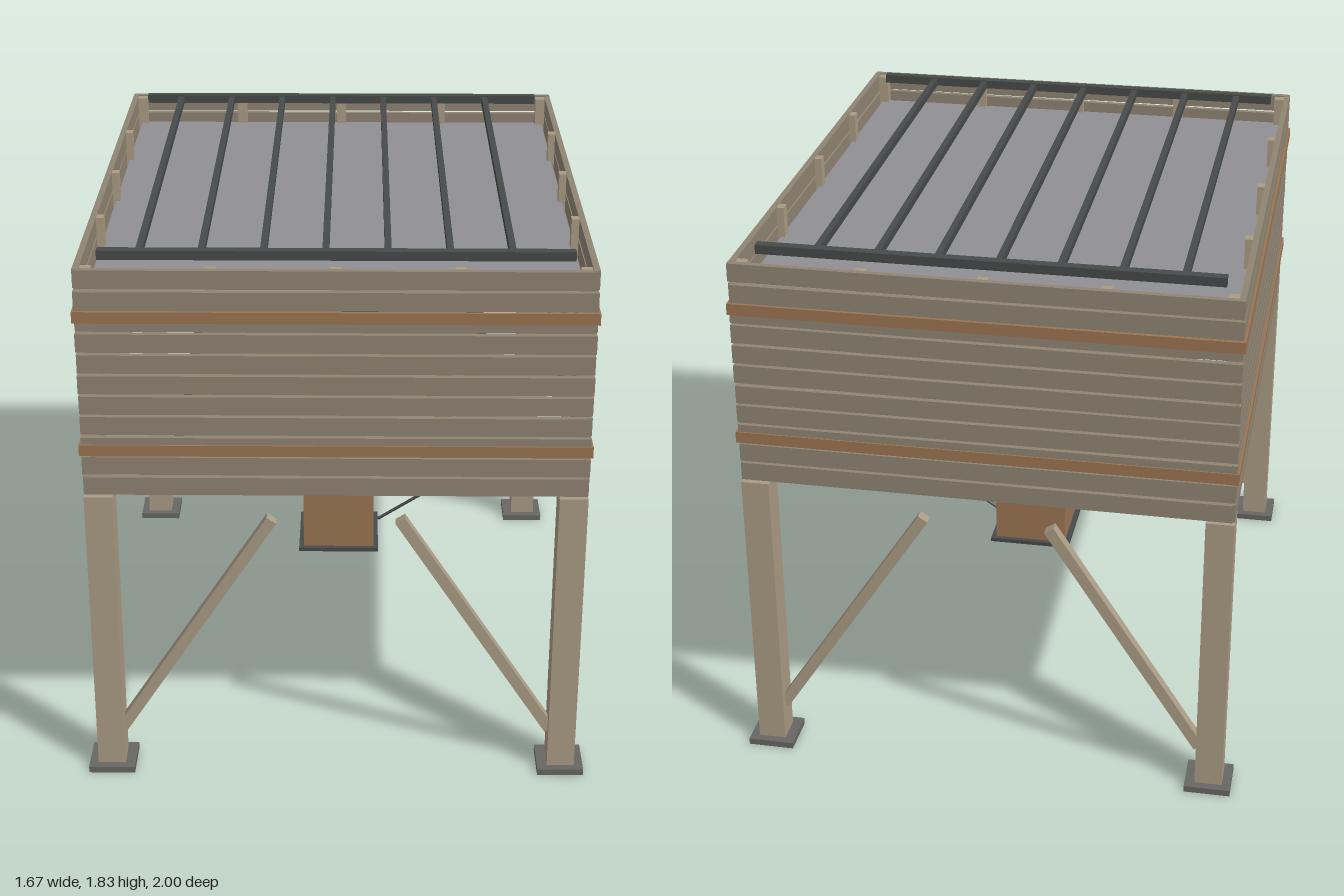
import * as THREE from 'three';

const mat = (color, side = THREE.FrontSide) => new THREE.MeshStandardMaterial({ color, side });
const wood = mat(0x8f8473), post = mat(0xaa9b84), rust = mat(0x9a7452), steel = mat(0x474a4a);
const foot = mat(0x666764), grain = mat(0x909094), funnel = mat(0x8a6a50, THREE.DoubleSide);

// small seeded generator, returns -1..1
let seed = 7;
const jitter = () => {
  seed = (seed * 16807) % 2147483647;
  return (seed / 2147483647) * 2 - 1;
};

function box(parent, name, w, h, d, x, y, z, material) {
  const m = new THREE.Mesh(new THREE.BoxGeometry(w, h, d), material);
  m.name = name;
  m.position.set(x, y, z);
  parent.add(m);
  return m;
}

// square-section bar between two points lying in an x-y plane
function bar(parent, name, ax, ay, bx, by, z, t, material) {
  const m = box(parent, name, t, Math.hypot(bx - ax, by - ay), t, (ax + bx) / 2, (ay + by) / 2, z, material);
  m.rotation.z = -Math.atan2(bx - ax, by - ay);
  return m;
}

function group(parent, name) {
  const g = new THREE.Group();
  g.name = name;
  parent.add(g);
  return g;
}

export function createModel() {
  const root = new THREE.Group();
  root.name = 'hopperBin';

  // legs, feet, inner corner posts and diagonal braces
  const frame = group(root, 'frame');
  for (const sx of [-1, 1]) for (const sz of [-1, 1]) {
    box(frame, 'foot', 0.155, 0.022, 0.15, sx * 0.758, 0.011, sz * 0.925, foot);
    box(frame, 'leg', 0.092, 1.012, 0.094, sx * 0.76, 0.526, sz * 0.925, post);
    box(frame, 'cornerPost', 0.035, 0.77, 0.035, sx * 0.768, 1.415, sz * 0.927, post);
    bar(frame, 'brace', sx * 0.72, 0.145, sx * 0.208, 0.935, sz * 0.925, 0.037, post);
  }

  // slatted walls with slightly uneven planks
  const walls = group(root, 'walls');
  const rows = 11, pitch = 0.0703;
  for (const s of [-1, 1]) {
    for (let i = 0; i < rows; i++) {
      const y = 1.07 + i * pitch;
      const f = box(walls, 'endPlank', 1.605 + jitter() * 0.01, 0.061, 0.02, 0, y, s * 0.957, wood);
      f.rotation.z = jitter() * 0.002;
      const e = box(walls, 'sidePlank', 0.02, 0.061, 1.925 + jitter() * 0.01, s * 0.796, y, 0, wood);
      e.rotation.x = jitter() * 0.002;
    }
    // metal bands around the walls
    for (const y of [1.197, 1.65]) {
      box(walls, 'endBand', 1.626, 0.038, 0.012, 0, y, s * 0.966, rust);
      box(walls, 'sideBand', 0.012, 0.038, 1.936, s * 0.807, y, 0, rust);
    }
    // upright studs inside the walls
    for (const k of [-1, 0, 1]) {
      box(walls, 'endStud', 0.036, 0.765, 0.025, k * 0.383, 1.42, s * 0.936, post);
      box(walls, 'sideStud', 0.025, 0.765, 0.036, s * 0.774, 1.42, k * 0.467, post);
    }
  }

  // level contents
  box(root, 'contents', 1.55, 0.01, 1.87, 0, 1.695, 0, grain);

  // grating on top
  const grating = group(root, 'grating');
  for (const s of [-1, 1]) box(grating, 'gratingBeam', 1.48, 0.03, 0.032, 0, 1.818, s * 0.857, steel);
  for (let i = 0; i < 7; i++) box(grating, 'gratingBar', 0.021, 0.026, 1.7, -0.611 + i * 0.193, 1.816, 0, steel);

  // funnel: a four-sided cone with its top ring stretched to a rectangle
  const hopper = group(root, 'hopper');
  const geo = new THREE.CylinderGeometry(0.54 * Math.SQRT2, 0.127 * Math.SQRT2, 0.37, 4, 1, true);
  geo.rotateY(Math.PI / 4);
  const p = geo.attributes.position;
  for (let i = 0; i < p.count; i++) if (p.getY(i) > 0) p.setZ(i, p.getZ(i) * 0.63 / 0.54);
  const cone = new THREE.Mesh(geo, funnel);
  cone.name = 'funnel';
  cone.position.y = 0.835;
  hopper.add(cone);

  // rim frame around the funnel mouth
  for (const s of [-1, 1]) {
    box(hopper, 'rimEnd', 1.11, 0.018, 0.03, 0, 1.024, s * 0.64, steel);
    box(hopper, 'rimSide', 0.03, 0.018, 1.25, s * 0.54, 1.024, 0, steel);
  }

  // chute, outlet plate and lever
  box(hopper, 'chute', 0.256, 0.25, 0.256, 0, 0.525, 0, rust);
  box(hopper, 'outletPlate', 0.29, 0.014, 0.29, 0, 0.396, 0, steel);
  const lever = new THREE.Mesh(new THREE.CylinderGeometry(0.006, 0.006, 0.249, 8), steel);
  lever.name = 'lever';
  lever.position.set(0.25, 0.518, 0);
  lever.rotation.z = -Math.atan2(0.209, 0.135);
  hopper.add(lever);
  const knob = new THREE.Mesh(new THREE.SphereGeometry(0.012, 12, 8), steel);
  knob.name = 'leverKnob';
  knob.position.set(0.355, 0.585, 0);
  hopper.add(knob);

  return root;
}
